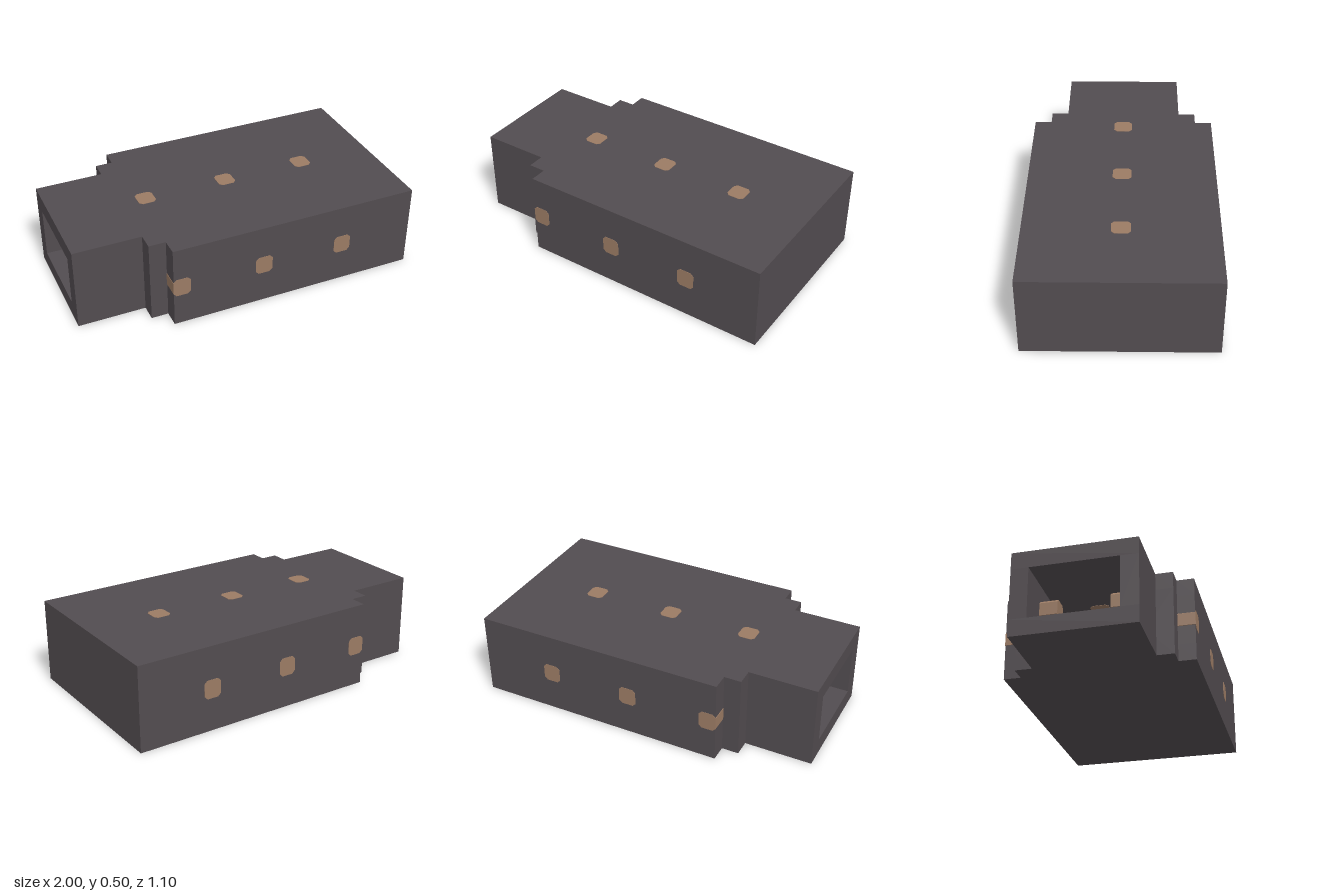
import * as THREE from 'three';

export function createModel() {
  const model = new THREE.Group();
  const stone = new THREE.MeshStandardMaterial({ color: 0x524c50 });
  stone.name = 'dark stone';
  const glow = new THREE.MeshStandardMaterial({ color: 0x9b7b64 });
  glow.name = 'lamp amber';

  const add = (geometry, material, name, x, y, z) => {
    const mesh = new THREE.Mesh(geometry, material);
    mesh.name = name;
    mesh.position.set(x, y, z);
    model.add(mesh);
    return mesh;
  };

  // Stepped plan shared by floor and roof
  const half = [[-1, 0.35], [-0.6, 0.35], [-0.6, 0.45], [-0.5, 0.45], [-0.5, 0.55], [1, 0.55]];
  const outline = [...half, ...half.map(([x, z]) => [x, -z]).reverse()];
  const plan = new THREE.Shape(outline.map(([x, z]) => new THREE.Vector2(x, z)));
  const slab = new THREE.ExtrudeGeometry(plan, { depth: 0.1, bevelEnabled: false });
  slab.rotateX(-Math.PI / 2);
  add(slab, stone, 'floor', 0, 0, 0);
  add(slab, stone, 'roof', 0, 0.4, 0);

  // Walls between the slabs
  const wall = (name, x0, x1, z0, z1) => add(
    new THREE.BoxGeometry(x1 - x0, 0.3, z1 - z0), stone, name, (x0 + x1) / 2, 0.25, (z0 + z1) / 2);
  wall('endWall', 0.9, 1, -0.55, 0.55);
  wall('leftWall', -0.5, 0.9, 0.45, 0.55);
  wall('rightWall', -0.5, 0.9, -0.55, -0.45);
  wall('leftDoorWall', -0.6, -0.5, 0.25, 0.45);
  wall('rightDoorWall', -0.6, -0.5, -0.45, -0.25);
  wall('leftCorridorWall', -1, -0.6, 0.25, 0.35);
  wall('rightCorridorWall', -1, -0.6, -0.35, -0.25);

  // Lamp blocks with clipped corners, set through the wall
  const w = 0.052, h = 0.055, c = 0.018;
  const lampShape = new THREE.Shape([
    [-w + c, -h], [w - c, -h], [w, -h + c], [w, h - c],
    [w - c, h], [-w + c, h], [-w, h - c], [-w, -h + c],
  ].map(([x, y]) => new THREE.Vector2(x, y)));
  const lamp = new THREE.ExtrudeGeometry(lampShape, { depth: 0.104, bevelEnabled: false });
  lamp.translate(0, 0, -0.052);

  for (const x of [-0.45, 0.05, 0.55]) {
    for (const side of [-1, 1]) add(lamp, glow, 'wallLamp', x, 0.25, side * 0.5);
    add(lamp, glow, 'roofLamp', x, 0.45, 0).rotation.x = -Math.PI / 2;
  }
  // Corridor lamps stand out from the inner walls
  for (const side of [-1, 1]) add(lamp, glow, 'corridorLamp', -0.75, 0.25, side * 0.2);

  return model;
}
